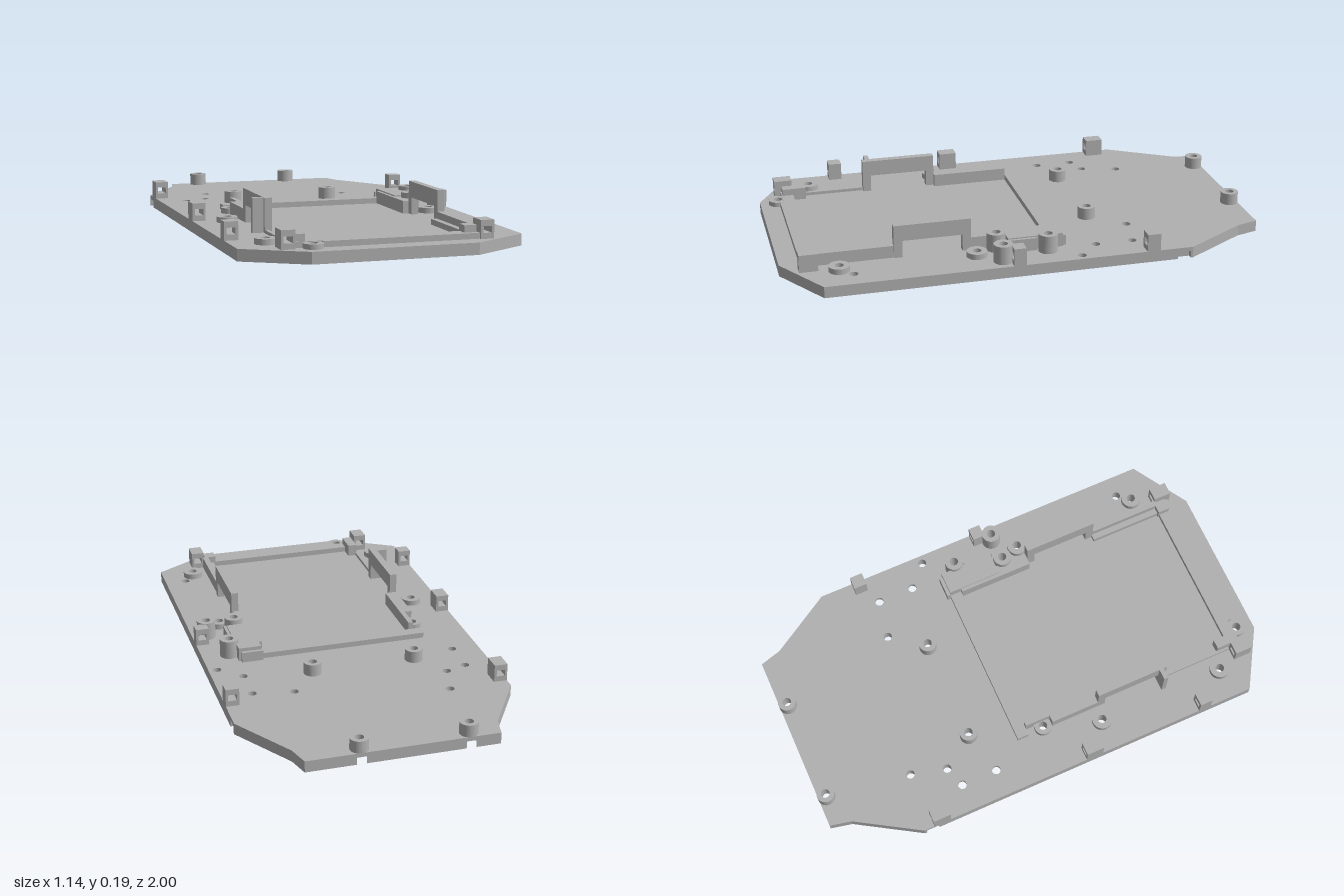
import * as THREE from 'three';

const TOP = 0.047; // deck surface
const STEP = 0.03; // depth of the screw-head recesses
const HOLE = 0.018;
const HEAD = 0.04;

// bosses: x, z, top height, radius, recessed underneath
const BOSSES = [
  [-0.27, -0.965, 0.097, 0.037, true], [0.165, -0.965, 0.097, 0.037, true],
  [-0.27, -0.32, 0.097, 0.037, true], [0.165, -0.32, 0.097, 0.037, true],
  [0.455, -0.07, 0.123, 0.039, true], [0.39, 0.13, 0.123, 0.039, true], [0.51, 0.13, 0.123, 0.039, true],
  [-0.44, 0.22, 0.07, 0.042, false], [0.435, 0.22, 0.07, 0.042, false],
  [-0.44, 0.775, 0.07, 0.042, false], [0.435, 0.775, 0.07, 0.042, false],
  [-0.365, -0.02, 0.07, 0.037, false], [-0.3, 0.925, 0.067, 0.039, false],
];
// plain holes: x, z, recessed underneath
const HOLES = [
  [-0.325, -0.61, false], [-0.365, -0.46, false], [0.28, -0.46, false],
  [-0.455, -0.43, true], [-0.455, -0.275, true], [0.445, -0.43, true], [0.445, -0.275, true],
  [0.535, -0.19, false], [0.48, 0.725, false],
];

export function createModel() {
  const group = new THREE.Group();
  const grey = new THREE.MeshStandardMaterial({ color: 0xb0b0b0 });
  grey.name = 'grey plastic';

  const add = (name, geometry) => {
    const mesh = new THREE.Mesh(geometry, grey);
    mesh.name = name;
    group.add(mesh);
    return mesh;
  };
  // box given by its limits
  const box = (name, x0, x1, z0, z1, y1, y0 = TOP) => {
    const g = new THREE.BoxGeometry(x1 - x0, y1 - y0, z1 - z0);
    add(name, g.translate((x0 + x1) / 2, (y0 + y1) / 2, (z0 + z1) / 2));
  };
  const circle = (x, z, r) => new THREE.Path().absarc(x, z, r, 0, Math.PI * 2, true);
  // shape drawn in x,z and raised from y0 to y1
  const raise = (name, shape, y0, y1) => {
    const g = new THREE.ExtrudeGeometry(shape, { depth: y1 - y0, bevelEnabled: false, curveSegments: 20 });
    add(name, g.rotateX(Math.PI / 2).translate(0, y1, 0));
  };

  // deck outline; the lower layer has side notches and open recesses on the back edge
  const outline = (lower) => {
    const s = new THREE.Shape();
    s.moveTo(-0.39, -1);
    if (lower) {
      const a = Math.asin(0.035 / HEAD);
      for (const x of [-0.27, 0.165]) {
        s.lineTo(x - HEAD * Math.cos(a), -1);
        s.absarc(x, -0.965, HEAD, Math.PI + a, -a, true);
      }
    }
    s.lineTo(0.385, -1);
    s.lineTo(0.41, -0.91);
    s.lineTo(0.57, -0.65);
    const notch = [[0.57, -0.64], [0.55, -0.64], [0.55, -0.585], [0.57, -0.585]];
    if (lower) notch.forEach(([x, z]) => s.lineTo(x, z));
    s.lineTo(0.57, 0.855);
    s.lineTo(0.33, 1);
    s.lineTo(-0.33, 1);
    s.lineTo(-0.57, 0.855);
    if (lower) notch.slice().reverse().forEach(([x, z]) => s.lineTo(-x, z));
    s.lineTo(-0.57, -0.65);
    s.lineTo(-0.41, -0.91);
    s.closePath();
    return s;
  };
  const upper = outline(false);
  const lower = outline(true);
  const drill = (x, z, recessed) => {
    upper.holes.push(circle(x, z, HOLE));
    if (z > -0.9) lower.holes.push(circle(x, z, recessed ? HEAD : HOLE));
  };
  BOSSES.forEach(([x, z, , , recessed]) => drill(x, z, recessed));
  HOLES.forEach(([x, z, recessed]) => drill(x, z, recessed));
  raise('deckLower', lower, 0, STEP);
  raise('deckUpper', upper, STEP, TOP);

  // screw bosses
  for (const [x, z, y, r] of BOSSES) {
    const ring = new THREE.Shape().absarc(x, z, r, 0, Math.PI * 2, false);
    ring.holes.push(circle(x, z, HOLE));
    raise('screwBoss', ring, TOP, y);
  }

  // square brackets with a window running front to back
  const bracket = (name, x0, x1, z0, z1) => {
    const y1 = 0.12;
    const s = new THREE.Shape([[x0, TOP], [x1, TOP], [x1, y1], [x0, y1]].map(p => new THREE.Vector2(...p)));
    s.holes.push(new THREE.Path([[x0 + 0.01, 0.07], [x0 + 0.01, 0.096], [x1 - 0.01, 0.096], [x1 - 0.01, 0.07]]
      .map(p => new THREE.Vector2(...p))));
    const g = new THREE.ExtrudeGeometry(s, { depth: z1 - z0, bevelEnabled: false });
    add(name, g.translate(0, 0, z0));
  };
  bracket('sideBracket', -0.57, -0.515, -0.605, -0.53);
  bracket('sideBracket', -0.57, -0.515, 0.09, 0.165);
  bracket('sideBracket', -0.57, -0.515, 0.615, 0.67);
  bracket('sideBracket', 0.515, 0.57, -0.51, -0.455);
  bracket('sideBracket', 0.515, 0.57, 0.05, 0.1);
  bracket('cornerPost', -0.425, -0.37, 0.855, 0.93);
  bracket('cornerPost', 0.365, 0.42, 0.855, 0.93);

  // battery tray: low end walls
  box('trayBackWall', -0.375, 0.335, -0.14, -0.09, 0.07);
  box('trayFrontWall', -0.375, 0.37, 0.855, 0.905, 0.07);
  box('trayFrontLip', -0.26, 0.37, 0.905, 0.92, 0.07);
  // taller side walls
  box('trayRightWall', -0.375, -0.325, 0.02, 0.23, 0.1);
  box('trayRightWallThin', -0.345, -0.325, -0.09, 0.02, 0.1);
  box('trayRightLip', -0.375, -0.36, 0.54, 0.855, 0.06);
  box('trayLeftWall', 0.32, 0.37, -0.09, 0.23, 0.1);
  box('trayLeftFrontWall', 0.345, 0.37, 0.54, 0.86, 0.098);
  box('trayLeftLedge', 0.32, 0.345, 0.54, 0.86, 0.07);
  box('trayCornerStop', -0.365, -0.325, 0.8, 0.9, 0.098);
  box('trayCornerStop', 0.31, 0.36, 0.85, 0.9, 0.098);

  // strap arches over the open middle of each side
  for (const [x0, x1] of [[-0.375, -0.345], [0.345, 0.375]]) {
    box('strapArchTop', x0, x1, 0.23, 0.545, 0.185, 0.118);
    box('strapArchLeg', x0, x1, 0.23, 0.264, 0.118);
    box('strapArchLeg', x0, x1, 0.51, 0.545, 0.118);
  }
  box('strapArchTab', -0.42, -0.36, 0.51, 0.53, 0.185);

  // connector block beside the tray
  box('connectorBlock', 0.335, 0.43, -0.14, 0.09, 0.105);
  box('connectorBack', 0.33, 0.42, -0.155, -0.14, 0.09);
  box('connectorFin', 0.43, 0.442, -0.03, 0.1, 0.1);

  return group;
}
